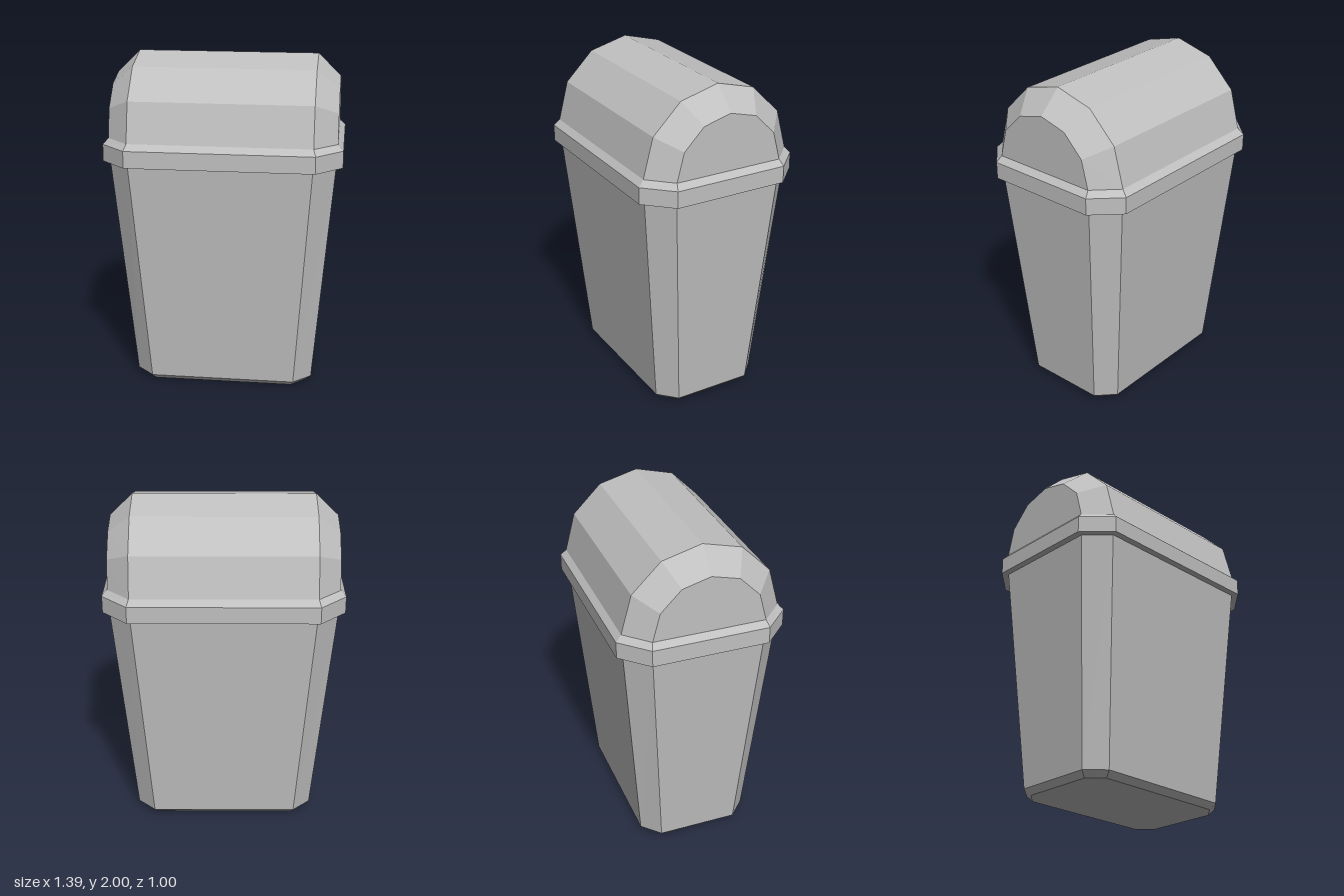
import * as THREE from 'three';

// Closed loft through rings of [x, y, z] points, capped at both ends, with flat faces.
function loft(rings) {
  const pos = [];
  const n = rings[0].length;
  const tri = (a, b, c) => pos.push(...a, ...b, ...c);
  for (let r = 0; r < rings.length - 1; r++) {
    const a = rings[r], b = rings[r + 1];
    for (let i = 0; i < n; i++) {
      const j = (i + 1) % n;
      tri(a[i], a[j], b[j]);
      tri(a[i], b[j], b[i]);
    }
  }
  const first = rings[0], last = rings[rings.length - 1];
  for (let i = 1; i < n - 1; i++) {
    tri(first[0], first[i + 1], first[i]);
    tri(last[0], last[i], last[i + 1]);
  }
  const geometry = new THREE.BufferGeometry();
  geometry.setAttribute('position', new THREE.Float32BufferAttribute(pos, 3));
  geometry.computeVertexNormals();
  return geometry;
}

// Rectangle with cut corners: half sizes hx, hz and straight-edge half lengths ix, iz.
const octagon = (y, hx, hz, ix, iz) => [
  [-ix, y, hz], [ix, y, hz], [hx, y, iz], [hx, y, -iz],
  [ix, y, -hz], [-ix, y, -hz], [-hx, y, -iz], [-hx, y, iz],
];

// Half-round section across the lid, from back to front.
function arch(x, radius, height) {
  const base = 1.535;
  return Array.from({ length: 7 }, (_, i) => {
    const [z, y] = [[1, 0], [0.867, 0.5], [0.5, 0.867], [0, 1], [0.5, 0.867], [0.867, 0.5], [1, 0]][i];
    return [x, base + y * height, (i < 3 ? -1 : 1) * z * radius];
  });
}

export function createModel() {
  const group = new THREE.Group();
  group.name = 'trashCan';
  const grey = new THREE.MeshStandardMaterial({ color: 0xc0c0c0, flatShading: true });
  grey.name = 'greyPlastic';

  const add = (name, rings) => {
    const mesh = new THREE.Mesh(loft(rings), grey);
    mesh.name = name;
    group.add(mesh);
  };

  // Tapered bin with a bevelled foot
  add('body', [
    octagon(0, 0.505, 0.305, 0.42, 0.22),
    octagon(0.035, 0.54, 0.34, 0.435, 0.24),
    octagon(1.4, 0.658, 0.46, 0.53, 0.33),
  ]);

  // Collar with a sloping top edge
  add('rim', [
    octagon(1.4, 0.697, 0.5, 0.545, 0.345),
    octagon(1.5, 0.697, 0.5, 0.545, 0.345),
    octagon(1.535, 0.665, 0.466, 0.532, 0.333),
  ]);

  // Barrel lid with bevelled ends
  add('lid', [
    arch(-0.665, 0.333, 0.335),
    arch(-0.532, 0.466, 0.465),
    arch(0.532, 0.466, 0.465),
    arch(0.665, 0.333, 0.335),
  ]);

  return group;
}
